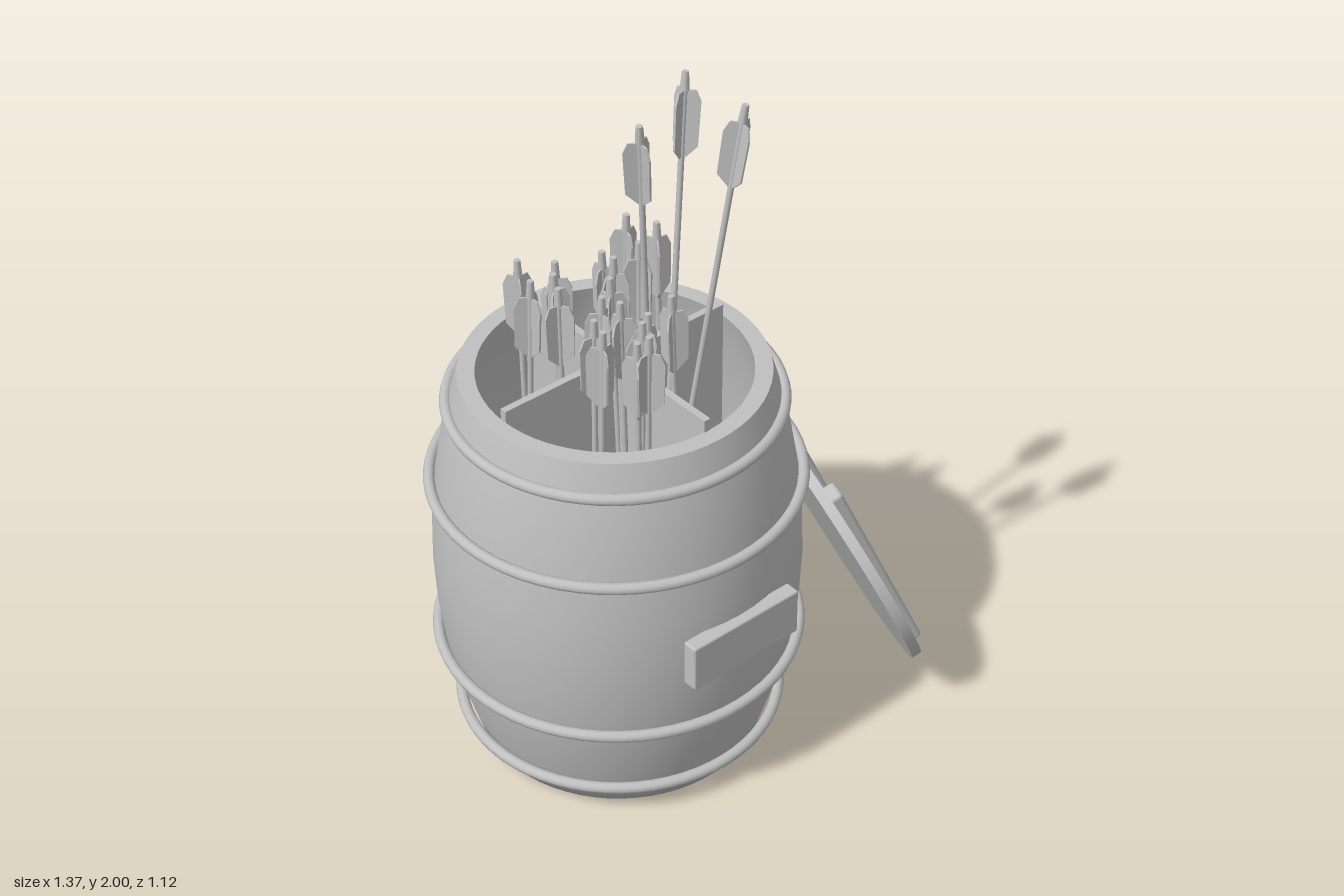
import * as THREE from 'three';
import { RoundedBoxGeometry } from 'three/addons/geometries/RoundedBoxGeometry.js';

const grey = new THREE.MeshStandardMaterial({ color: 0xc0c0c0 });
grey.name = 'grey';
const greyThin = grey.clone();
greyThin.name = 'greyThin';
greyThin.side = THREE.DoubleSide;

function add(parent, name, geometry, x = 0, y = 0, z = 0, material = grey) {
  const mesh = new THREE.Mesh(geometry, material);
  mesh.name = name;
  mesh.position.set(x, y, z);
  parent.add(mesh);
  return mesh;
}

function lathe(points) {
  return new THREE.LatheGeometry(points.map(([r, y]) => new THREE.Vector2(r, y)), 64);
}

// Arrow with its nock end at the origin, shaft hanging down along -y
const vane = new THREE.Shape([
  [0.006, -0.05], [0.03, -0.05], [0.043, -0.08], [0.04, -0.2], [0.006, -0.235],
].map(([x, y]) => new THREE.Vector2(x, y)));
const vaneGeometry = new THREE.ExtrudeGeometry(vane, { depth: 0.005, bevelEnabled: false });
vaneGeometry.translate(0, 0, -0.0025);

function makeArrow(tip, base, spin) {
  const arrow = new THREE.Group();
  arrow.name = 'arrow';
  const dir = tip.clone().sub(base);
  const length = dir.length();
  add(arrow, 'arrowShaft', new THREE.CylinderGeometry(0.008, 0.008, length - 0.04, 8), 0, -(length + 0.04) / 2, 0);
  add(arrow, 'arrowNock', new THREE.CylinderGeometry(0.009, 0.012, 0.05, 8), 0, -0.025, 0);
  for (let i = 0; i < 3; i++) {
    add(arrow, 'arrowVane', vaneGeometry).rotation.y = spin + (i * Math.PI * 2) / 3;
  }
  arrow.position.copy(tip);
  arrow.quaternion.setFromUnitVectors(new THREE.Vector3(0, 1, 0), dir.normalize());
  return arrow;
}

function makeBarrel() {
  const barrel = new THREE.Group();
  barrel.name = 'barrel';
  barrel.position.set(-0.17, 0, -0.05);

  // Bulging shell, flat rim and hollow inside
  add(barrel, 'barrelShell', lathe([
    [0, 0], [0.395, 0], [0.425, 0.1], [0.455, 0.2], [0.482, 0.33], [0.496, 0.46], [0.501, 0.58],
    [0.497, 0.7], [0.484, 0.84], [0.462, 0.97], [0.437, 1.08], [0.41, 1.17],
  ]));
  add(barrel, 'barrelRim', lathe([[0.41, 1.17], [0.363, 1.17]]));
  add(barrel, 'barrelInside', lathe([
    [0.363, 1.17], [0.395, 1.05], [0.43, 0.84], [0.45, 0.58], [0.43, 0.33], [0.38, 0.12], [0.3, 0.05], [0, 0.04],
  ]));

  // Hoops
  for (const [y, r] of [[0.09, 0.445], [0.33, 0.498], [0.84, 0.498], [1.083, 0.443]]) {
    add(barrel, 'hoop', new THREE.TorusGeometry(r, 0.016, 10, 64), 0, y, 0).rotation.x = Math.PI / 2;
  }

  // Crossed dividers
  add(barrel, 'dividerAcross', new THREE.BoxGeometry(0.728, 1.145, 0.02), 0, 0.6325, 0);
  add(barrel, 'dividerDeep', new THREE.BoxGeometry(0.02, 1.145, 0.728), 0, 0.6325, 0);
  return barrel;
}

function makeLid() {
  const lid = new THREE.Group();
  lid.name = 'lid';
  lid.position.set(0.453, 0.41, 0.17);
  lid.rotation.set(-0.43, 1.246, 0, 'YXZ');
  add(lid, 'lidDisc', new THREE.CylinderGeometry(0.402, 0.402, 0.03, 56)).rotation.x = Math.PI / 2;
  for (const side of [-1, 1]) {
    add(lid, 'lidSlat', new RoundedBoxGeometry(0.066, 0.66, 0.045, 2, 0.012), side * 0.165, 0, 0.028);
  }
  return lid;
}

export function createModel() {
  const model = new THREE.Group();
  model.name = 'arrowBarrel';
  model.add(makeBarrel(), makeLid());

  // Blank plaque on the front
  add(model, 'plaque', new RoundedBoxGeometry(0.36, 0.14, 0.045, 2, 0.006), -0.17, 0.58, 0.455);

  // Short arrows standing in the compartments: x, z of each nock
  const spots = [
    [-0.30, -0.28], [-0.24, -0.20], [-0.35, -0.16], [-0.27, -0.17], [-0.31, -0.10],
    [0.03, -0.24], [-0.11, -0.17], [-0.02, -0.13], [0.066, -0.16], [-0.105, -0.13],
    [-0.25, 0.0], [-0.19, -0.04], [-0.32, 0.055], [-0.345, 0.12], [-0.24, 0.06],
    [-0.235, 0.14], [-0.31, 0.21], [-0.28, 0.22], [-0.20, 0.12], [-0.115, 0.11],
  ];
  spots.forEach(([x, z], i) => {
    const tip = new THREE.Vector3(x, 1.44 + 0.02 * ((i * 7) % 3) / 2, z);
    const base = new THREE.Vector3(x + 0.03 * Math.sin(i * 2.4), 0.08, z + 0.03 * Math.cos(i * 1.7));
    model.add(makeArrow(tip, base, i * 1.3));
  });

  // Three tall arrows leaning apart
  const tall = [
    [[-0.23, 1.998, 0.13], [-0.12, 0.6, 0.045]],
    [[0.03, 1.99, -0.005], [-0.12, 0.6, 0.075]],
    [[0.035, 1.99, 0.21], [-0.12, 0.6, 0.09]],
  ];
  tall.forEach(([tip, base], i) => {
    model.add(makeArrow(new THREE.Vector3(...tip), new THREE.Vector3(...base), 0.4 + i));
  });
  return model;
}
